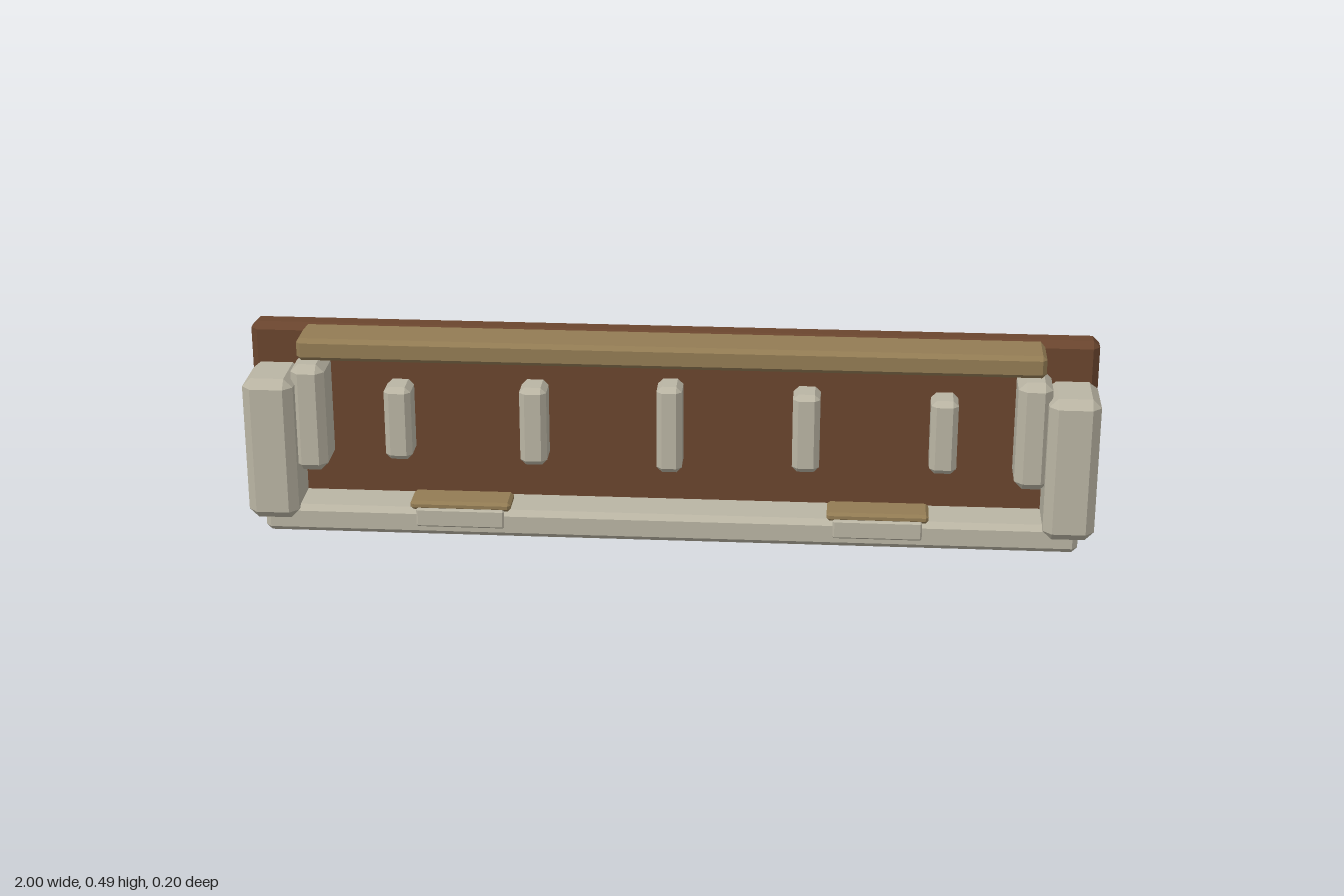
import * as THREE from 'three';
import { ConvexGeometry } from 'three/addons/geometries/ConvexGeometry.js';

const wood = new THREE.MeshStandardMaterial({ color: 0x6a452e });
wood.name = 'dark wood';
const stone = new THREE.MeshStandardMaterial({ color: 0xbab5a4 });
stone.name = 'pale stone';
const tan = new THREE.MeshStandardMaterial({ color: 0x937c54 });
tan.name = 'tan wood';

// Box with flat chamfers on all edges, given by its extents
function chamferBox(name, material, [x0, x1], [y0, y1], [z0, z1], c) {
  const half = [(x1 - x0) / 2, (y1 - y0) / 2, (z1 - z0) / 2];
  const points = [];
  for (const sx of [-1, 1]) for (const sy of [-1, 1]) for (const sz of [-1, 1]) {
    for (let axis = 0; axis < 3; axis++) {
      const p = half.map((h, i) => (i === axis ? h : h - c));
      points.push(new THREE.Vector3(sx * p[0], sy * p[1], sz * p[2]));
    }
  }
  const mesh = new THREE.Mesh(new ConvexGeometry(points), material);
  mesh.position.set((x0 + x1) / 2, (y0 + y1) / 2, (z0 + z1) / 2);
  mesh.name = name;
  return mesh;
}

export function createModel() {
  const model = new THREE.Group();
  model.name = 'wallPanel';
  const add = (...args) => model.add(chamferBox(...args));

  // Long back board, base ledge and top rail
  add('backBoard', wood, [-1, 1], [0.007, 0.49], [-0.1, -0.034], 0.016);
  add('baseLedge', stone, [-0.965, 0.965], [0, 0.068], [-0.088, 0.073], 0.013);
  add('topRail', tan, [-0.872, 0.872], [0.432, 0.486], [-0.06, 0.062], 0.01);

  // Middle stud
  add('centreStud', stone, [-0.03, 0.03], [0.16, 0.376], [-0.06, 0.035], 0.013);

  for (const [side, s] of [['left', 1], ['right', -1]]) {
    const span = (a, b) => (s > 0 ? [a, b] : [-b, -a]);
    // End posts and the slimmer posts inside them
    add(side + 'EndPost', stone, span(0.88, 1), [0.04, 0.393], [-0.08, 0.1], 0.021);
    add(side + 'InnerPost', stone, span(0.81, 0.89), [0.153, 0.42], [-0.06, 0.068], 0.019);
    // Shorter studs towards the ends
    add(side + 'InnerStud', stone, span(0.29, 0.354), [0.17, 0.365], [-0.06, 0.035], 0.013);
    add(side + 'OuterStud', stone, span(0.612, 0.676), [0.175, 0.358], [-0.06, 0.035], 0.013);
    // Ledge block with a tan cap
    add(side + 'LedgeBlock', stone, span(0.39, 0.6), [0.024, 0.07], [0, 0.077], 0.004);
    add(side + 'LedgeCap', tan, span(0.375, 0.615), [0.064, 0.086], [-0.01, 0.07], 0.007);
  }
  return model;
}
